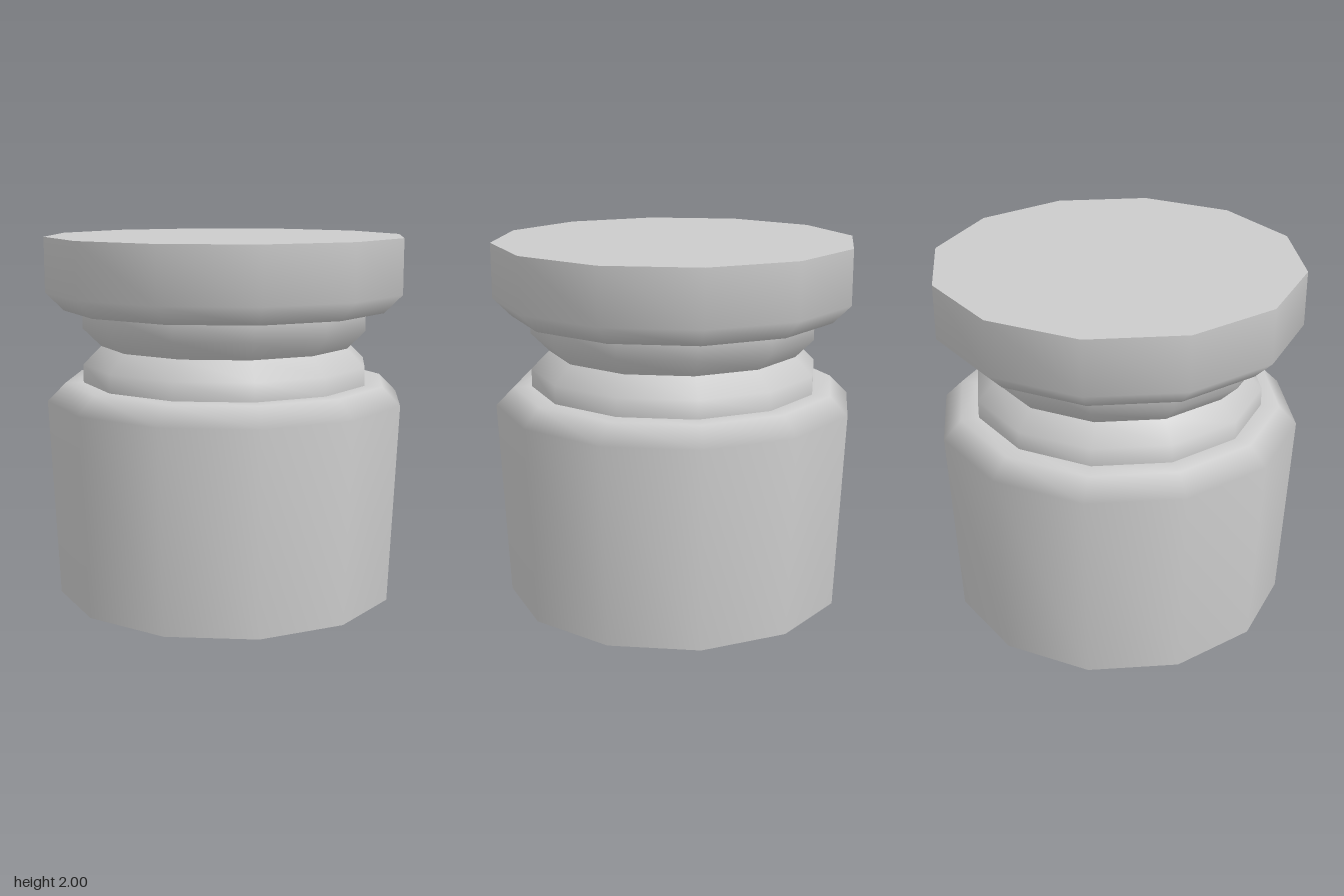
import * as THREE from 'three';

const SIDES = 12;
const material = new THREE.MeshStandardMaterial({ color: 0xcccccc });

// Smooth twelve-sided band turned from a profile of [radius, height], bottom to top
function band(name, profile) {
  const points = profile.map(([r, y]) => new THREE.Vector2(r, y));
  const mesh = new THREE.Mesh(new THREE.LatheGeometry(points, SIDES), material);
  mesh.name = name;
  return mesh;
}

// Flat end face; facing is 1 for up, -1 for down
function disc(name, radius, y, facing) {
  const geometry = new THREE.CircleGeometry(radius, SIDES);
  geometry.rotateX(-facing * Math.PI / 2);
  geometry.translate(0, y, 0);
  const mesh = new THREE.Mesh(geometry, material);
  mesh.name = name;
  return mesh;
}

export function createModel() {
  const model = new THREE.Group();
  model.name = 'stopperedJar';

  model.add(
    // Tapered body with a bevelled shoulder
    disc('bodyBottom', 0.95, 0, -1),
    band('body', [[0.95, 0], [1, 1.1], [0.9, 1.2], [0.8, 1.2]]),

    // Two mirrored collars meeting at a narrow waist
    band('lowerCollar', [[0.8, 1.2], [0.8, 1.3], [0.7, 1.4]]),
    band('upperCollar', [[0.7, 1.4], [0.8, 1.5], [0.8, 1.6]]),

    // Wide lid with a bevelled underside
    band('lid', [[0.8, 1.6], [0.9, 1.6], [1, 1.7], [1, 2]]),
    disc('lidTop', 1, 2, 1)
  );
  return model;
}
